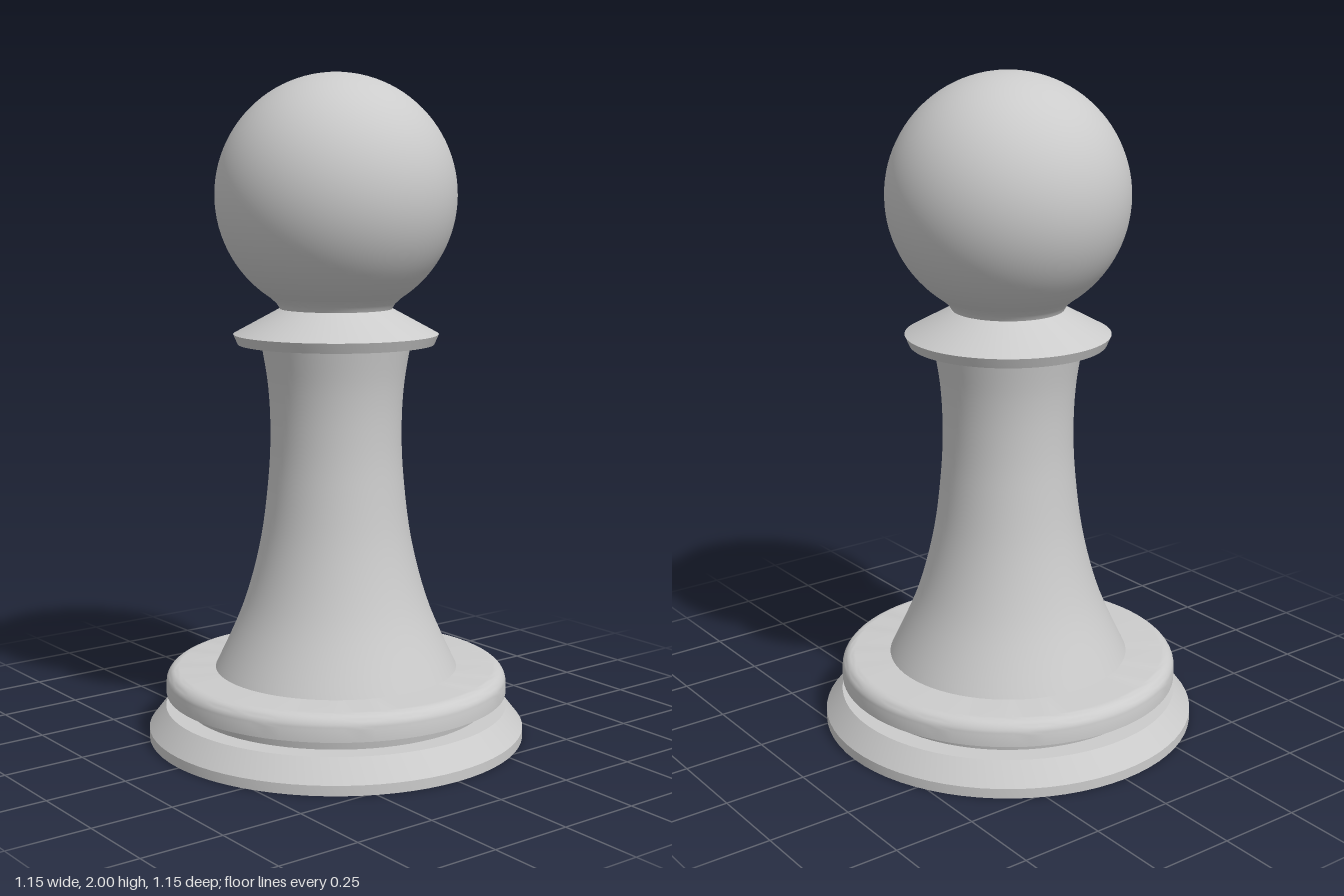
import * as THREE from 'three';
import { toCreasedNormals } from 'three/addons/utils/BufferGeometryUtils.js';

const SEGMENTS = 72;
const material = new THREE.MeshStandardMaterial({ color: 0xcccccc });

// Turned part: profile points [radius, height] run from bottom to top.
function turned(name, points, crease = 0.45) {
  const profile = points.map(([r, y]) => new THREE.Vector2(r, y));
  const geometry = toCreasedNormals(new THREE.LatheGeometry(profile, SEGMENTS), crease);
  const mesh = new THREE.Mesh(geometry, material);
  mesh.name = name;
  return mesh;
}

// Points of a smooth curve through [radius, height] pairs.
function smooth(points, divisions) {
  return new THREE.SplineCurve(points.map(([r, y]) => new THREE.Vector2(r, y)))
    .getPoints(divisions)
    .map((p) => [p.x, p.y]);
}

export function createModel() {
  const group = new THREE.Group();
  group.name = 'pawn';

  // Foot: flat disc with a sloped upper edge
  group.add(turned('foot', [[0, 0], [0.573, 0], [0.573, 0.03], [0.522, 0.095], [0, 0.095]]));

  // Recessed groove between foot and base ring
  group.add(turned('groove', [[0.46, 0.09], [0.47, 0.14]]));

  // Base ring with a rounded top edge
  const ring = [[0, 0.135], [0.52, 0.135]];
  for (let i = 0; i <= 8; i++) {
    const a = (i / 8) * Math.PI / 2;
    ring.push([0.48 + 0.04 * Math.cos(a), 0.17 + 0.04 * Math.sin(a)]);
  }
  ring.push([0, 0.21]);
  group.add(turned('baseRing', ring));

  // Waisted body
  group.add(turned('body', smooth([
    [0.37, 0.208], [0.284, 0.4], [0.23, 0.6], [0.204, 0.8], [0.198, 0.95], [0.205, 1.08], [0.225, 1.205],
  ], 32)));

  // Collar: thin rim and conical top
  group.add(turned('collar', [[0, 1.2], [0.295, 1.2], [0.308, 1.23], [0.17, 1.305], [0, 1.305]]));

  // Neck flaring into the head
  group.add(turned('neck', smooth([[0.167, 1.303], [0.178, 1.321], [0.202, 1.343]], 6)));

  // Head
  const head = new THREE.Mesh(new THREE.SphereGeometry(0.36, SEGMENTS, 48), material);
  head.name = 'head';
  head.position.y = 1.64;
  group.add(head);

  return group;
}
